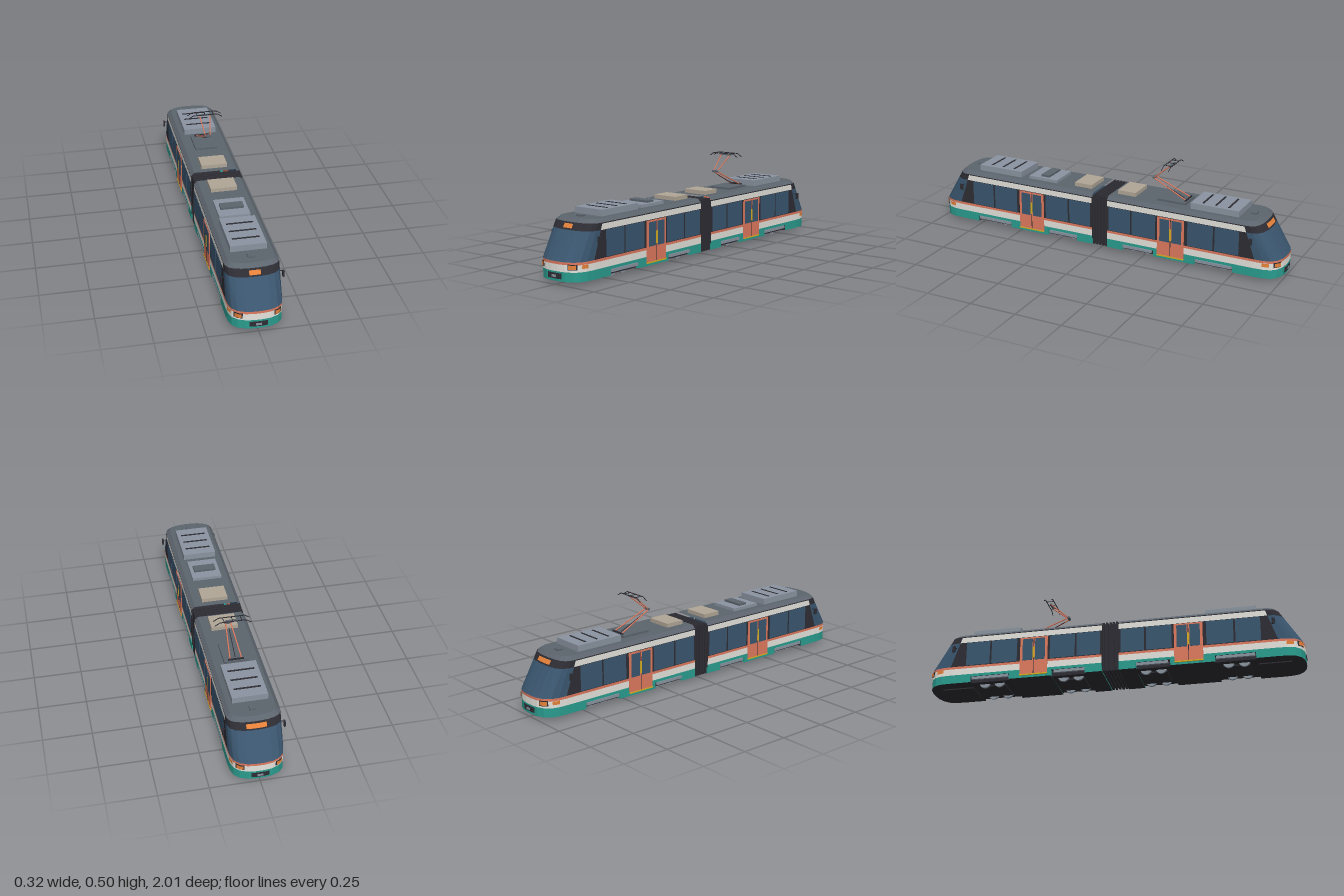
import * as THREE from 'three';

const mat = (name, color) => {
  const m = new THREE.MeshStandardMaterial({ color });
  m.name = name;
  return m;
};

export function createModel() {
  const teal = mat('teal', 0x2a9d8f), cream = mat('cream', 0xe6e4dd), coral = mat('coral', 0xe07a5f);
  const amber = mat('amber', 0xe8833a), glass = mat('glass', 0x3a566f), dark = mat('dark', 0x2e2d34);
  const roofGrey = mat('roofGrey', 0x5c646d), lightGrey = mat('lightGrey', 0x8a94a0);
  const beige = mat('beige', 0xb0a696), yellow = mat('yellow', 0xd9b021);

  const add = (parent, name, geo, material, x = 0, y = 0, z = 0) => {
    const m = new THREE.Mesh(geo, material);
    m.name = name;
    m.position.set(x, y, z);
    parent.add(m);
    return m;
  };
  // box given by its limits on each axis
  const box = (parent, name, material, x0, x1, y0, y1, z0, z1) =>
    add(parent, name, new THREE.BoxGeometry(x1 - x0, y1 - y0, z1 - z0), material,
      (x0 + x1) / 2, (y0 + y1) / 2, (z0 + z1) / 2);
  const rod = (parent, name, material, a, b, r) => {
    const p = new THREE.Vector3(...a), q = new THREE.Vector3(...b);
    const m = add(parent, name, new THREE.CylinderGeometry(r, r, p.distanceTo(q), 6), material);
    m.position.copy(p).lerp(q, 0.5);
    m.quaternion.setFromUnitVectors(new THREE.Vector3(0, 1, 0), q.sub(p).normalize());
    return m;
  };
  const soup = (points) => {
    const g = new THREE.BufferGeometry();
    g.setAttribute('position', new THREE.Float32BufferAttribute(points.flat(), 3));
    g.computeVertexNormals();
    return g;
  };

  // plan outline of a car at height y, from the left rear round the nose to the right rear
  const BACK = 0.045;
  const ARC = [[1, 0], [0.98, 0.35], [0.9, 0.64], [0.72, 0.84], [0.45, 0.96], [0.15, 1]];
  const ramp = (y, values) => {
    const ys = [0.113, 0.285, 0.303];
    if (y <= ys[0]) return values[0];
    const i = y <= ys[1] ? 0 : 1;
    return THREE.MathUtils.lerp(values[i], values[i + 1], (y - ys[i]) / (ys[i + 1] - ys[i]));
  };
  const ring = (y, back = BACK) => {
    const w = ramp(y, [0.135, 0.135, 0.115]), zs = ramp(y, [0.87, 0.81, 0.8]), d = ramp(y, [0.13, 0.08, 0.07]);
    const half = [[w, y, back], ...ARC.map(([x, z]) => [x * w, y, zs + z * d])];
    return [...half, ...half.slice().reverse().map(([x, yy, z]) => [-x, yy, z])];
  };
  const LAST = 13;
  const band = (y0, y1, from = 0, to = LAST, back = BACK) => {
    const lo = ring(y0, back), hi = ring(y1, back), pts = [];
    for (let i = from; i < to; i++) pts.push(lo[i], hi[i + 1], lo[i + 1], lo[i], hi[i], hi[i + 1]);
    return soup(pts);
  };
  const cap = (y, up, back = BACK) => {
    const r = ring(y, back), pts = [];
    for (let i = 1; i < LAST; i++) pts.push(r[0], ...(up ? [r[i + 1], r[i]] : [r[i], r[i + 1]]));
    return soup(pts);
  };
  // thin patch following the nose surface
  const noseZ = (x, y) => {
    const r = ring(y), ax = Math.abs(x);
    for (let i = 1; i < 6; i++) {
      if (ax >= r[i + 1][0]) {
        return THREE.MathUtils.lerp(r[i + 1][2], r[i][2], Math.min(1, (ax - r[i + 1][0]) / (r[i][0] - r[i + 1][0])));
      }
    }
    return r[6][2];
  };
  const patch = (parent, name, material, x0, x1, y0, y1, off) => {
    const pts = [], n = 8, at = (i, y) => {
      const x = x0 + (x1 - x0) * i / n;
      return [x * (1 + off), y, noseZ(x, y) + off];
    };
    for (let i = 0; i < n; i++) {
      pts.push(at(i, y0), at(i + 1, y0), at(i + 1, y1), at(i, y0), at(i + 1, y1), at(i, y1));
    }
    add(parent, name, soup(pts), material);
  };

  const buildCar = (signHalf) => {
    const car = new THREE.Group();
    // body shell in colour bands
    add(car, 'lowerBand', band(0.05, 0.065), teal);
    add(car, 'creamBand', band(0.065, 0.1), cream);
    add(car, 'waistStripe', band(0.1, 0.113), coral);
    add(car, 'windshield', band(0.113, 0.25, 1, 12), glass);
    add(car, 'browBand', band(0.25, 0.285, 1, 12), dark);
    for (const i of [0, 12]) {
      add(car, 'windowBand', band(0.113, 0.25, i, i + 1), dark);
      add(car, 'upperBand', band(0.25, 0.28, i, i + 1), cream);
      add(car, 'gutter', band(0.28, 0.285, i, i + 1), dark);
    }
    add(car, 'roofEdge', band(0.285, 0.303), roofGrey);
    add(car, 'roof', cap(0.303, true), roofGrey);
    add(car, 'floor', cap(0.05, false), dark);
    box(car, 'endWall', dark, -0.134, 0.134, 0.05, 0.285, 0.043, 0.047);

    // skirts, open above the bogies
    add(car, 'noseSkirt', band(0.018, 0.05, 0, LAST, 0.755), teal);
    add(car, 'noseFloor', cap(0.018, false, 0.755), dark);
    box(car, 'underframe', dark, -0.115, 0.115, 0.02, 0.051, 0.1, 0.757);
    box(car, 'skirtEnd', dark, -0.134, 0.134, 0.019, 0.05, 0.754, 0.757);
    for (const [a, b] of [[0.045, 0.135], [0.315, 0.545]]) {
      box(car, 'skirt', [teal, teal, teal, dark, teal, teal], -0.135, 0.135, 0.018, 0.05, a, b);
    }
    box(car, 'underNosePlate', dark, -0.065, 0.065, 0.012, 0.019, 0.76, 0.93);

    // bogies
    for (const zc of [0.65, 0.22]) {
      const len = zc > 0.5 ? 0.1 : 0.083;
      box(car, 'bogieFrame', dark, -0.07, 0.07, 0.012, 0.03, zc - 0.07, zc + 0.07);
      for (const s of [-1, 1]) {
        const c = box(car, 'bogieCover', lightGrey, -0.006, 0.006, 0.033, 0.048, zc - len, zc + len);
        c.position.x = s * 0.13;
        for (const dz of [-0.04, 0.04]) {
          add(car, 'wheel', new THREE.CylinderGeometry(0.03, 0.03, 0.012, 20), lightGrey, s * 0.08, 0.03, zc + dz)
            .rotation.z = Math.PI / 2;
        }
      }
    }

    // side windows, doors and mirrors
    for (const s of [-1, 1]) {
      const plate = (name, m, z0, z1, y0, y1, out) =>
        add(car, name, new THREE.BoxGeometry(0.006, y1 - y0, z1 - z0), m,
          s * (0.132 + out), (y0 + y1) / 2, (z0 + z1) / 2);
      for (const [a, b] of [[0.655, 0.785], [0.505, 0.645], [0.19, 0.325], [0.055, 0.18]]) {
        plate('sideWindow', glass, a, b, 0.116, 0.248, 0.0015);
      }
      plate('door', coral, 0.337, 0.487, 0.03, 0.247, 0.003);
      for (const z of [0.378, 0.446]) plate('doorGlass', glass, z - 0.027, z + 0.027, 0.115, 0.238, 0.0045);
      plate('doorSeam', dark, 0.4105, 0.4135, 0.036, 0.24, 0.0045);
      plate('doorHandle', yellow, 0.407, 0.417, 0.125, 0.19, 0.006);
      plate('doorStep', yellow, 0.337, 0.487, 0.03, 0.037, 0.005);
      rod(car, 'mirrorArm', dark, [s * 0.125, 0.222, 0.842], [s * 0.157, 0.222, 0.85], 0.0025);
      box(car, 'mirror', dark, s * 0.152 - 0.004, s * 0.152 + 0.004, 0.194, 0.226, 0.843, 0.86);
      // lamps
      const span = (a, b) => (s > 0 ? [a, b] : [-b, -a]);
      patch(car, 'lampFrame', dark, ...span(0.076, 0.114), 0.076, 0.104, 0.004);
      patch(car, 'headlamp', amber, ...span(0.081, 0.111), 0.08, 0.1, 0.007);
      patch(car, 'indicator', amber, ...span(0.125, 0.133), 0.081, 0.099, 0.006);
    }
    patch(car, 'couplerPanel', dark, -0.044, 0.044, 0.03, 0.058, 0.003);
    patch(car, 'coupler', lightGrey, -0.015, 0.015, 0.037, 0.05, 0.006);
    patch(car, 'destinationSign', amber, -signHalf, signHalf, 0.259, 0.279, 0.005);

    // roof units
    box(car, 'coolingUnit', lightGrey, -0.09, 0.09, 0.303, 0.335, 0.5, 0.763);
    for (const z of [0.56, 0.63, 0.7]) box(car, 'coolingSlot', dark, -0.068, 0.068, 0.334, 0.337, z - 0.005, z + 0.005);
    box(car, 'beigeRoofBox', beige, -0.07, 0.07, 0.303, 0.324, 0.078, 0.18);
    box(car, 'roofBeacon', roofGrey, -0.017, 0.017, 0.303, 0.311, 0.8, 0.83);
    return car;
  };

  const tram = new THREE.Group();
  tram.name = 'tram';
  const front = buildCar(0.028), rear = buildCar(0.05);
  front.name = 'frontCar';
  rear.name = 'rearCar';
  rear.rotation.y = Math.PI;
  tram.add(front, rear);

  // converter on the front roof
  box(front, 'converter', lightGrey, -0.08, 0.08, 0.303, 0.319, 0.285, 0.455);
  box(front, 'converterVent', roofGrey, -0.06, 0.06, 0.319, 0.33, 0.342, 0.392);

  // folding gangway between the cars
  box(tram, 'gangwayCore', dark, -0.122, 0.122, 0.025, 0.288, -0.046, 0.046);
  for (let i = -2; i <= 2; i++) {
    box(tram, 'gangwayFold', dark, -0.13, 0.13, 0.018, 0.296, i * 0.018 - 0.0055, i * 0.018 + 0.0055);
  }

  // current collector
  const arm = new THREE.Group();
  arm.name = 'currentCollector';
  tram.add(arm);
  box(arm, 'collectorBase', roofGrey, -0.062, 0.062, 0.303, 0.314, -0.46, -0.3);
  rod(arm, 'basePivot', dark, [-0.04, 0.318, -0.45], [0.04, 0.318, -0.45], 0.005);
  for (const s of [-1, 1]) {
    rod(arm, 'lowerArm', coral, [s * 0.03, 0.316, -0.45], [s * 0.013, 0.405, -0.258], 0.0035);
    rod(arm, 'upperArm', coral, [s * 0.013, 0.405, -0.258], [s * 0.029, 0.488, -0.355], 0.003);
  }
  rod(arm, 'controlRod', dark, [0, 0.316, -0.43], [0, 0.385, -0.28], 0.002);
  box(arm, 'knee', roofGrey, -0.018, 0.018, 0.401, 0.411, -0.264, -0.252);
  box(arm, 'headBar', roofGrey, -0.033, 0.033, 0.486, 0.492, -0.36, -0.35);
  for (const z of [-0.375, -0.335]) {
    rod(arm, 'contactStrip', dark, [-0.066, 0.498, z], [0.066, 0.498, z], 0.0025);
    for (const s of [-1, 1]) rod(arm, 'stripHorn', dark, [s * 0.066, 0.498, z], [s * 0.093, 0.482, z], 0.0022);
  }
  for (const x of [-0.045, 0, 0.045]) rod(arm, 'headLink', dark, [x, 0.496, -0.375], [x, 0.496, -0.335], 0.002);
  return tram;
}
